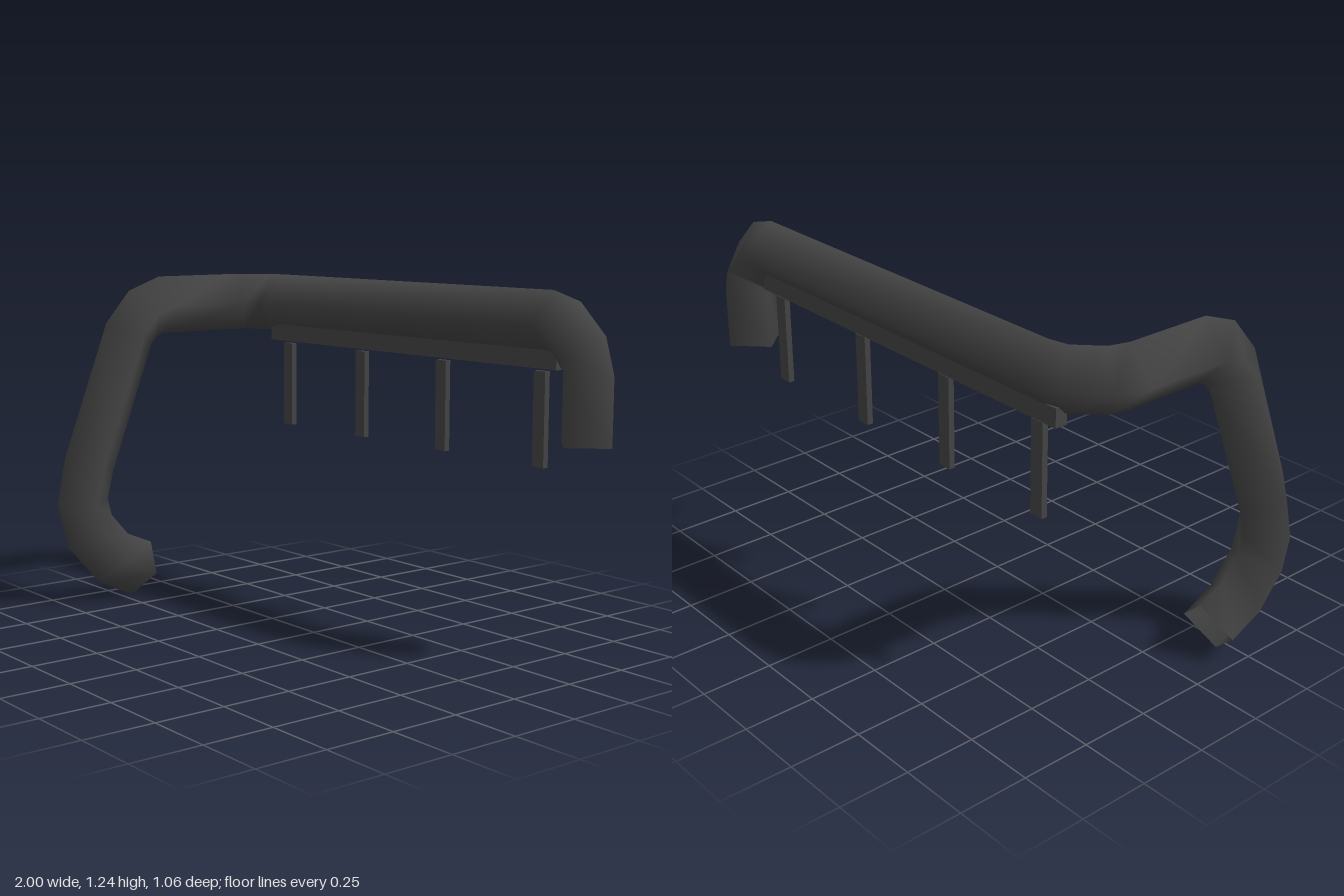
import * as THREE from 'three';

const darkGrey = new THREE.MeshStandardMaterial({ color: 0x444444, side: THREE.DoubleSide });
darkGrey.name = 'dark grey';

// Four-sided open tube swept along a path, with a transported frame
function sweepTube(path, radius, startNormal, sides = 4) {
  const positions = [], indices = [];
  const normal = startNormal.clone();
  path.forEach((p, i) => {
    const before = path[Math.max(i - 1, 0)];
    const after = path[Math.min(i + 1, path.length - 1)];
    const tangent = after.clone().sub(before).normalize();
    normal.addScaledVector(tangent, -normal.dot(tangent)).normalize();
    const binormal = tangent.clone().cross(normal);
    for (let j = 0; j < sides; j++) {
      const a = (j / sides) * Math.PI * 2;
      const v = p.clone()
        .addScaledVector(normal, Math.cos(a) * radius)
        .addScaledVector(binormal, Math.sin(a) * radius);
      positions.push(v.x, v.y, v.z);
      if (i > 0) {
        const k = (j + 1) % sides, r0 = (i - 1) * sides, r1 = i * sides;
        indices.push(r0 + j, r0 + k, r1 + j, r0 + k, r1 + k, r1 + j);
      }
    }
  });
  const geometry = new THREE.BufferGeometry();
  geometry.setAttribute('position', new THREE.Float32BufferAttribute(positions, 3));
  geometry.setIndex(indices);
  geometry.computeVertexNormals();
  return geometry;
}

function addBox(group, name, size, position) {
  const mesh = new THREE.Mesh(new THREE.BoxGeometry(...size), darkGrey);
  mesh.name = name;
  mesh.position.set(...position);
  group.add(mesh);
}

export function createModel() {
  const group = new THREE.Group();
  group.name = 'bentPipeRail';
  const backZ = -0.423, topY = 1.135, sideX = 0.89;

  // Pipe: short drop on the left, long top run, then forward and down on the right
  const path = [
    [sideX, 0.75, backZ], [sideX, 0.975, backZ], [0.87, 1.045, backZ], [0.79, 1.12, backZ],
    [0.73, topY, backZ], [-0.72, topY, backZ],
    [-0.79, topY, -0.408], [-0.87, topY, -0.33], [-sideX, topY, -0.262],
    [-sideX, topY, 0.052], [-sideX, 1.105, 0.133], [-sideX, 1.03, 0.2],
    [-sideX, 0.54, 0.388], [-sideX, 0.4, 0.42], [-sideX, 0.28, 0.39],
    [-sideX, 0.163, 0.29], [-sideX, 0.104, 0.163],
  ].map((p) => new THREE.Vector3(...p));
  const pipe = new THREE.Mesh(sweepTube(path, 0.11, new THREE.Vector3(0, 0, 1)), darkGrey);
  pipe.name = 'pipe';
  group.add(pipe);

  // Thin rail set into the underside of the top run
  addBox(group, 'rail', [1.55, 0.065, 0.045], [-0.005, 1.017, backZ]);

  // Flat hanging posts
  for (const x of [-0.685, -0.24, 0.205, 0.685]) {
    addBox(group, 'post', [0.052, 0.325, 0.022], [x, 0.8125, backZ]);
  }
  return group;
}
